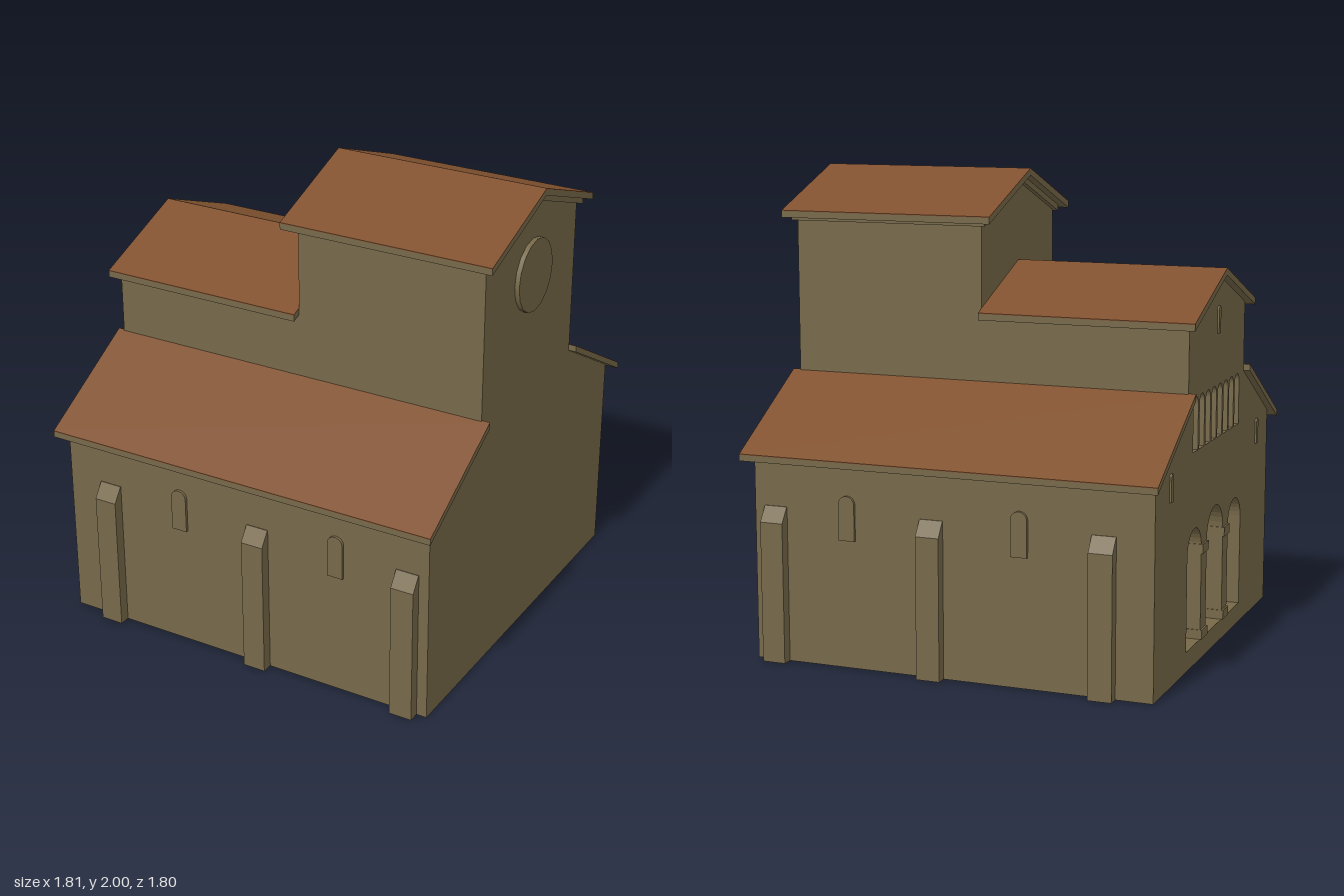
import * as THREE from 'three';

const stone = new THREE.MeshStandardMaterial({ color: 0x766849, side: THREE.DoubleSide });
stone.name = 'stone';
const tile = new THREE.MeshStandardMaterial({ color: 0x80512f, side: THREE.DoubleSide });
tile.name = 'roofTile';

const XL = -0.87, XR = 0.85, XM = 0.015; // left end, right end, tower start
const NAVE = 0.415, AISLE = 0.835;       // half depths

const poly = (pts) => new THREE.Shape(pts.map(([x, y]) => new THREE.Vector2(x, y)));
const rect = (x0, y0, x1, y1) => poly([[x0, y0], [x1, y0], [x1, y1], [x0, y1]]);

// Round-headed opening whose head springs at y = spring
function arch(x0, x1, y0, spring) {
  const s = new THREE.Shape();
  const r = (x1 - x0) / 2;
  s.moveTo(x0, y0);
  s.lineTo(x1, y0);
  s.lineTo(x1, spring);
  s.absarc(x0 + r, spring, r, 0, Math.PI, false);
  s.lineTo(x0, y0);
  return s;
}

const extrude = (shape, depth) =>
  new THREE.ExtrudeGeometry(shape, { depth, bevelEnabled: false, curveSegments: 8 });

export function createModel() {
  const model = new THREE.Group();
  model.name = 'church';

  function add(name, geometry, material, parent = model) {
    const mesh = new THREE.Mesh(geometry, material);
    mesh.name = name;
    parent.add(mesh);
    return mesh;
  }
  // Section drawn in (z, y), swept from x0 to x1
  function sweep(name, pts, x0, x1, material) {
    const mesh = add(name, extrude(poly(pts), x1 - x0), material);
    mesh.rotation.y = -Math.PI / 2;
    mesh.position.x = x1;
  }

  // Left end: local x is +z and local z points outward
  const leftEnd = new THREE.Group();
  leftEnd.name = 'leftEnd';
  leftEnd.rotation.y = -Math.PI / 2;
  leftEnd.position.x = XL;
  model.add(leftEnd);

  const endProfile = (eave, ridge) => poly([
    [-AISLE, 0], [AISLE, 0], [AISLE, 0.88], [NAVE, 1.125], [NAVE, eave],
    [0, ridge], [-NAVE, eave], [-NAVE, 1.125], [-AISLE, 0.88],
  ]);

  const leftWall = endProfile(1.43, 1.59);
  const porch = [-0.43, 0.05, 0.43, 0.66];
  const gallery = [-0.37, 0.87, 0.37, 1.16];
  leftWall.holes.push(rect(...porch), rect(...gallery));
  add('leftWall', new THREE.ShapeGeometry(leftWall), stone, leftEnd);

  // Panels pierced by arches, closed by a plate at the back
  function arcade(name, box, arches, depth) {
    const panel = rect(...box);
    panel.holes.push(...arches);
    add(name, extrude(panel, depth), stone, leftEnd).position.z = -depth;
    add(name + 'Back', new THREE.ShapeGeometry(rect(...box)), stone, leftEnd).position.z = -depth;
  }
  arcade('doorArcade', porch, [
    arch(-0.4, -0.2, 0.085, 0.48),
    arch(-0.122, 0.122, 0.085, 0.49),
    arch(0.2, 0.4, 0.085, 0.48),
  ], 0.07);
  const small = [];
  for (let i = 0; i < 8; i++) {
    const z = -0.308 + i * 0.088;
    small.push(arch(z - 0.034, z + 0.034, 0.9, 1.09));
  }
  arcade('galleryArcade', gallery, small, 0.04);

  // Bases and capitals on the two piers
  for (const z of [-0.161, 0.161]) {
    for (const y of [0.105, 0.47]) {
      const block = add(y < 0.2 ? 'pierBase' : 'pierCapital', new THREE.BoxGeometry(0.085, 0.04, 0.07), stone, leftEnd);
      block.position.set(z, y, -0.027);
    }
  }
  // Slit windows
  for (const [z, y] of [[-0.64, 0.76], [0.64, 0.76], [0, 1.34]]) {
    add('slitWindow', extrude(arch(z - 0.014, z + 0.014, y, y + 0.1), 0.04), stone, leftEnd).position.z = -0.032;
  }

  // Right end with the round window
  const rightWall = add('rightWall', new THREE.ShapeGeometry(endProfile(1.822, 1.975)), stone);
  rightWall.rotation.y = Math.PI / 2;
  rightWall.position.x = XR;
  const rose = add('roundWindow', new THREE.CylinderGeometry(0.155, 0.155, 0.04, 16), stone);
  rose.rotation.z = -Math.PI / 2;
  rose.position.set(0.85, 1.625, 0);

  // Tower wall rising above the lower nave roof
  const towerWall = add('towerLeftWall', new THREE.ShapeGeometry(poly([
    [-NAVE, 1.3], [NAVE, 1.3], [NAVE, 1.822], [0, 1.975], [-NAVE, 1.822],
  ])), stone);
  towerWall.rotation.y = -Math.PI / 2;
  towerWall.position.x = XM;

  // Long sides, the back being the front turned by mirrored x
  for (const side of [1, -1]) {
    const group = new THREE.Group();
    group.name = side > 0 ? 'frontSide' : 'backSide';
    if (side < 0) group.rotation.y = Math.PI;
    model.add(group);
    const span = (a, b) => (side > 0 ? [a, b] : [-b, -a]);
    const wall = (name, a, b, y0, y1, z) => {
      const [x0, x1] = span(a, b);
      add(name, new THREE.ShapeGeometry(rect(x0, y0, x1, y1)), stone, group).position.z = z;
    };
    wall('aisleWall', XL, XR, 0, 0.88, AISLE);
    wall('naveWall', XL, XM, 1.12, 1.43, NAVE);
    wall('towerWall', XM, XR, 1.12, 1.822, NAVE);

    // Arched windows
    for (const x of [-0.315, 0.432]) {
      const [x0, x1] = span(x - 0.035, x + 0.035);
      add('archedWindow', extrude(arch(x0, x1, 0.535, 0.685), 0.05), stone, group).position.z = 0.797;
    }
    // Buttresses with sloping tops
    for (const x of [-0.665, 0.062, 0.755]) {
      const b = add('buttress', extrude(poly([[0.82, 0], [0.882, 0], [0.882, 0.59], [0.838, 0.652], [0.82, 0.652]]), 0.1), stone, group);
      b.rotation.y = -Math.PI / 2;
      b.position.x = side * x + 0.05;
    }
  }

  // Gable roofs: stone slab under a thin tile skin
  const chevron = (w, eave, ridge, t) => [
    [-w, eave - t], [0, ridge - t], [w, eave - t], [w, eave], [0, ridge], [-w, eave],
  ];
  function gableRoof(name, x0, x1, w, eave, ridge) {
    sweep(name + 'Slab', chevron(w, eave - 0.004, ridge - 0.004, 0.026), x0, x1, stone);
    sweep(name + 'Tiles', chevron(w, eave, ridge, 0.004), x0, x1, tile);
  }
  gableRoof('naveRoof', -0.905, XM, 0.455, 1.437, 1.612);
  gableRoof('towerRoof', -0.04, 0.9, 0.465, 1.83, 2.0);
  sweep('towerCornice', chevron(0.43, 1.813, 1.97, 0.026), -0.005, 0.872, stone);

  // Lean-to aisle roofs, with tiles also seen from inside
  for (const s of [1, -1]) {
    const lean = (z0, y0, z1, y1, t) => [[s * z0, y0 - t], [s * z1, y1 - t], [s * z1, y1], [s * z0, y0]];
    sweep('aisleRoofSlab', lean(0.9, 0.868, 0.41, 1.148, 0.025), -0.9, 0.885, stone);
    sweep('aisleRoofTiles', lean(0.9, 0.872, 0.41, 1.152, 0.004), -0.9, 0.885, tile);
    sweep('aisleRoofLining', lean(0.832, 0.881, 0.42, 1.116, 0.004), XL + 0.005, XR - 0.005, tile);
  }

  return model;
}
